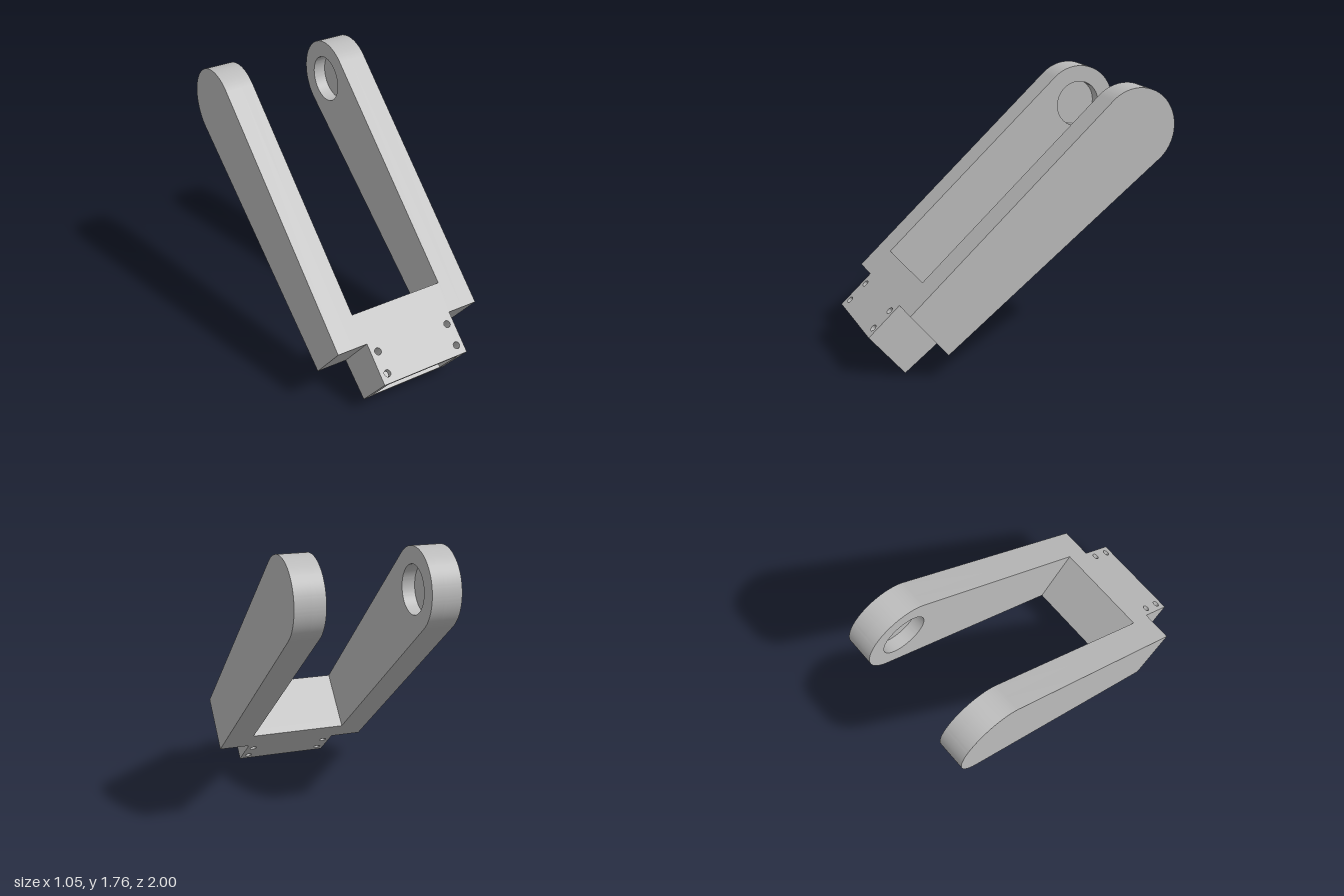
import * as THREE from 'three';
import { toCreasedNormals } from 'three/addons/utils/BufferGeometryUtils.js';

// Local frame: X runs up the arms, Y is across their height, Z is sideways.
const TILT = THREE.MathUtils.degToRad(40);
const H0 = 0.181;                      // half height at the socket end
const LENGTH = 2.115, R = 0.265;       // arm tip centre and radius
const TAPER = 0.0397;
const halfHeight = (u) => H0 + TAPER * u;
const SHOULDER = 0.277, BRIDGE_END = 0.478;
const TONGUE = 0.315, ARM_IN = 0.33, ARM_OUT = 0.525;
const WALL = 0.043, CAVITY = 0.265, CAVITY_DEPTH = 0.135;
const HOLE_R = 0.023, HOLE_U = [0.063, 0.21];
const RECESS_R = 0.155, RECESS_DEPTH = 0.085;

function circleHole(x, y, r) {
  return new THREE.Path().absarc(x, y, r, 0, Math.PI * 2, true);
}

function extrude(shape, depth, curveSegments) {
  return new THREE.ExtrudeGeometry(shape, { depth, curveSegments, bevelEnabled: false });
}

// Side outline of an arm with a rounded tip
function armShape(recessed) {
  const a = Math.PI / 2 + Math.atan(TAPER);
  const s = new THREE.Shape();
  s.moveTo(SHOULDER, halfHeight(SHOULDER));
  s.lineTo(SHOULDER, -halfHeight(SHOULDER));
  s.absarc(LENGTH, 0, R, -a, a, false);
  s.closePath();
  if (recessed) s.holes.push(circleHole(LENGTH, 0, RECESS_R));
  return s;
}

// Plan outline of tongue and bridge; the hollow version opens at the front
function bridgeShape(hollow) {
  const s = new THREE.Shape();
  s.moveTo(TONGUE, 0);
  for (const [x, y] of [
    [TONGUE, SHOULDER], [ARM_IN, SHOULDER], [ARM_IN, BRIDGE_END],
    [-ARM_IN, BRIDGE_END], [-ARM_IN, SHOULDER], [-TONGUE, SHOULDER], [-TONGUE, 0],
  ]) s.lineTo(x, y);
  if (hollow) {
    const q = Math.PI / 2;
    s.lineTo(-CAVITY, 0);
    s.absarc(-CAVITY, HOLE_U[0], HOLE_R, -q, q, true);
    s.lineTo(-CAVITY, CAVITY_DEPTH);
    s.lineTo(CAVITY, CAVITY_DEPTH);
    s.absarc(CAVITY, HOLE_U[0], HOLE_R, q, -q, true);
    s.lineTo(CAVITY, 0);
  }
  s.closePath();
  for (const u of hollow ? [HOLE_U[1]] : HOLE_U)
    for (const side of [-1, 1]) s.holes.push(circleHole(side * CAVITY, u, HOLE_R));
  return s;
}

// Layer of the bridge between two heights, tapered to match the arms
function bridgeLayer(hollow, v0, v1) {
  const g = extrude(bridgeShape(hollow), v1 - v0, 12);
  const p = g.attributes.position;
  for (let i = 0; i < p.count; i++) {
    const w = p.getX(i), u = p.getY(i), v = p.getZ(i) + v0;
    p.setXYZ(i, u, v * halfHeight(u) / H0, w);
  }
  return g;
}

export function createModel() {
  const model = new THREE.Group();
  const grey = new THREE.MeshStandardMaterial({ color: 0xbcbcbc });
  grey.name = 'grey';

  const bracket = new THREE.Group();
  bracket.name = 'forkBracket';
  bracket.rotation.set(0, Math.PI / 2, TILT, 'YXZ');
  bracket.position.set(0, 0.14, 0.885);
  model.add(bracket);

  const add = (name, geometry, parent) => {
    const mesh = new THREE.Mesh(toCreasedNormals(geometry, 0.6), grey);
    mesh.name = name;
    parent.add(mesh);
  };

  // Tongue with a socket and four cross holes, continuing into the bridge
  const bridge = new THREE.Group();
  bridge.name = 'tongueAndBridge';
  bracket.add(bridge);
  add('bottomPlate', bridgeLayer(false, -H0, -H0 + WALL), bridge);
  add('socketWalls', bridgeLayer(true, -H0 + WALL, H0 - WALL), bridge);
  add('topPlate', bridgeLayer(false, H0 - WALL, H0), bridge);

  // Arms, each with a round blind recess on the inner face
  const floor = ARM_IN + RECESS_DEPTH;
  for (const side of [-1, 1]) {
    const arm = new THREE.Group();
    arm.name = side > 0 ? 'leftArm' : 'rightArm';
    bracket.add(arm);
    const layer = (name, recessed, w0, w1) => {
      const g = extrude(armShape(recessed), w1 - w0, 48);
      g.translate(0, 0, side > 0 ? w0 : -w1);
      add(name, g, arm);
    };
    layer('armInnerLayer', true, ARM_IN, floor);
    layer('armOuterLayer', false, floor, ARM_OUT);
  }
  return model;
}
